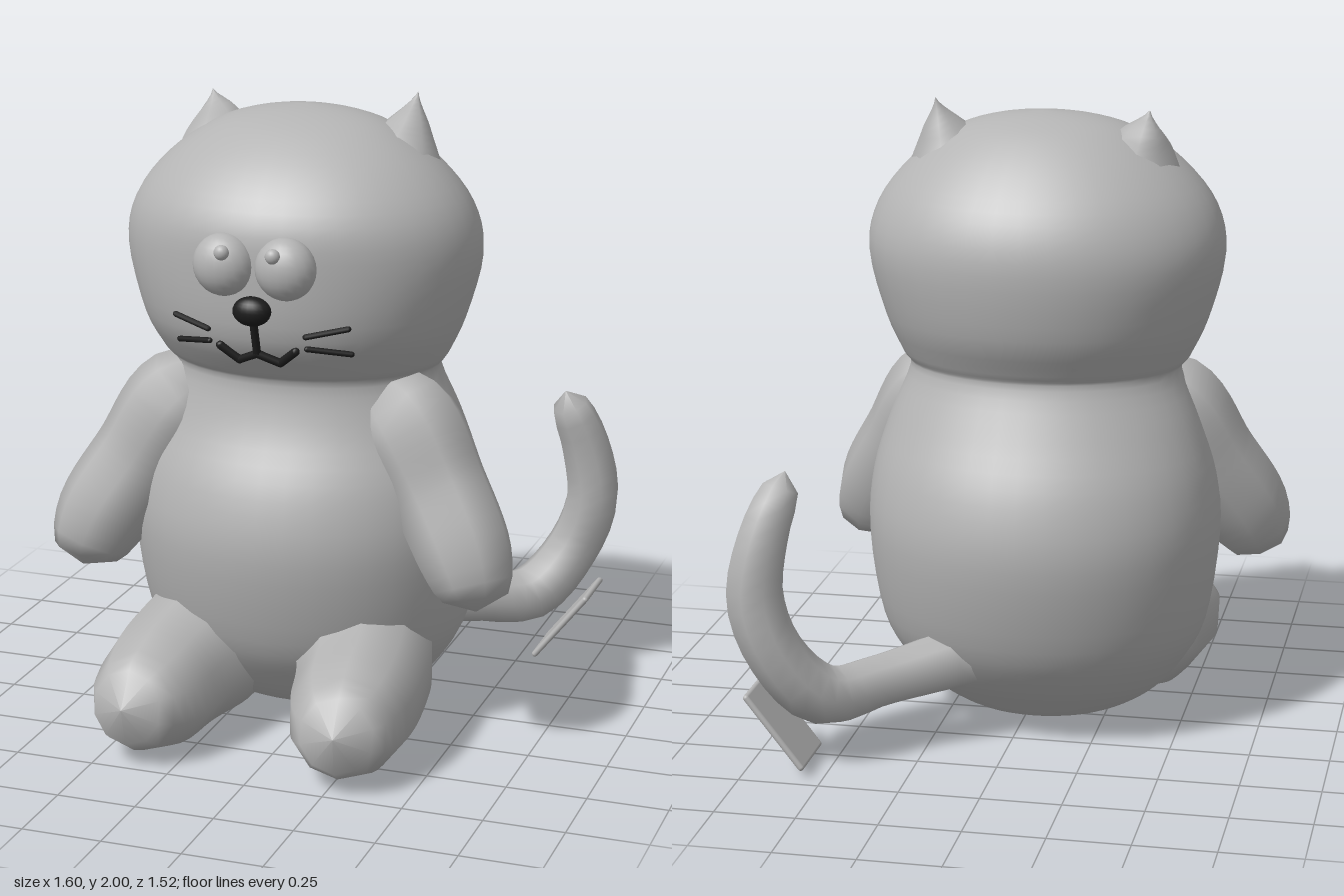
import * as THREE from 'three';
import { mergeVertices } from 'three/addons/utils/BufferGeometryUtils.js';
import { RoundedBoxGeometry } from 'three/addons/geometries/RoundedBoxGeometry.js';

const fur = new THREE.MeshStandardMaterial({ color: 0xb4b4b4 });
fur.name = 'grey fur';
const ink = new THREE.MeshStandardMaterial({ color: 0x1c1c1c });
ink.name = 'black features';

const V = (x, y, z) => new THREE.Vector3(x, y, z);

// Trunk sections: y, half width, centre z, half depth
const SECTIONS = [
  [0.03, 0, 0, 0], [0.045, 0.2, 0, 0.15], [0.1, 0.34, 0.02, 0.25], [0.2, 0.44, 0.02, 0.35],
  [0.35, 0.52, 0.02, 0.44], [0.62, 0.56, 0.02, 0.5], [0.82, 0.545, 0.02, 0.47], [1.0, 0.49, 0.02, 0.385],
  [1.15, 0.43, 0.035, 0.335], [1.2, 0.455, 0.045, 0.36], [1.32, 0.51, 0.055, 0.43], [1.52, 0.56, 0.05, 0.455],
  [1.67, 0.53, 0.06, 0.43], [1.8, 0.43, 0.06, 0.335], [1.9, 0.29, 0.05, 0.21], [1.945, 0.15, 0.04, 0.1],
  [1.96, 0, 0.03, 0],
];
const splines = [1, 2, 3].map(k => new THREE.SplineCurve(SECTIONS.map(s => new THREE.Vector2(s[0], s[k]))));
const ROWS = Array.from({ length: 65 }, (_, i) => {
  const p = splines.map(s => s.getPoint(i / 64));
  return { y: p[0].x, rx: Math.max(p[0].y, 0), zc: p[1].y, rz: Math.max(p[2].y, 0) };
});

// Front surface of the trunk, used to seat the face
function faceZ(x, y) {
  const j = ROWS.findIndex(r => r.y >= y), a = ROWS[j - 1], b = ROWS[j];
  const f = (y - a.y) / (b.y - a.y);
  const mix = k => THREE.MathUtils.lerp(a[k], b[k], f);
  return mix('zc') + mix('rz') * Math.sqrt(1 - (x / mix('rx')) ** 2);
}

function trunkGeometry() {
  const n = 40, pos = [], index = [];
  for (const r of ROWS) {
    for (let j = 0; j < n; j++) {
      const a = j / n * Math.PI * 2;
      pos.push(r.rx * Math.sin(a), r.y, r.zc + r.rz * Math.cos(a));
    }
  }
  for (let i = 0; i < ROWS.length - 1; i++) {
    for (let j = 0; j < n; j++) {
      const a = i * n + j, b = i * n + (j + 1) % n;
      index.push(a, b, b + n, a, b + n, a + n);
    }
  }
  const g = new THREE.BufferGeometry();
  g.setAttribute('position', new THREE.Float32BufferAttribute(pos, 3));
  g.setIndex(index);
  const merged = mergeVertices(g, 1e-4);
  merged.computeVertexNormals();
  return merged;
}

// Tube of changing radius through [x, y, z, radius] points
function limbGeometry(points, sides = 10, steps = 20) {
  const curve = new THREE.CatmullRomCurve3(points.map(p => V(p[0], p[1], p[2])));
  const radii = new THREE.SplineCurve(points.map((p, i) => new THREE.Vector2(i, p[3])));
  const g = new THREE.TubeGeometry(curve, steps, 1, sides);
  const pos = g.attributes.position, v = V(0, 0, 0);
  for (let i = 0; i <= steps; i++) {
    const c = curve.getPointAt(i / steps);
    const r = Math.max(radii.getPoint(curve.getUtoTmapping(i / steps)).y, 0.0005);
    for (let j = 0; j <= sides; j++) {
      const k = i * (sides + 1) + j;
      v.fromBufferAttribute(pos, k).sub(c).multiplyScalar(r).add(c);
      pos.setXYZ(k, v.x, v.y, v.z);
    }
  }
  g.deleteAttribute('uv');
  g.deleteAttribute('normal');
  const merged = mergeVertices(g, 1e-4);
  merged.computeVertexNormals();
  return merged;
}

export function createModel() {
  const model = new THREE.Group();
  model.name = 'sittingCat';
  const cat = new THREE.Group();
  cat.name = 'cat';
  cat.position.x = -0.05;
  model.add(cat);

  const add = (name, geometry, material, parent = cat) => {
    const m = new THREE.Mesh(geometry, material);
    m.name = name;
    parent.add(m);
    return m;
  };
  const ball = (name, material, c, r) => {
    const m = add(name, new THREE.SphereGeometry(1, 20, 14), material);
    m.position.set(...c);
    m.scale.set(...r);
  };
  // Thin stroke drawn on the face through [x, y] points
  const stroke = (name, pts, r) => {
    for (let i = 1; i < pts.length; i++) {
      const [a, b] = [pts[i - 1], pts[i]].map(([x, y]) => V(x, y, faceZ(x, y) + 0.012));
      const m = add(name, new THREE.CapsuleGeometry(r, a.distanceTo(b), 3, 8), ink);
      m.position.copy(a).lerp(b, 0.5);
      m.quaternion.setFromUnitVectors(V(0, 1, 0), b.sub(a).normalize());
    }
  };

  add('headAndBody', trunkGeometry(), fur);

  for (const s of [1, -1]) {
    const side = s > 0 ? 'left' : 'right';
    const limb = (part, pts, sides) =>
      add(side + part, limbGeometry(pts.map(([x, ...rest]) => [x * s, ...rest]), sides), fur);

    limb('Arm', [[0.22, 1.14, 0.13, 0.06], [0.36, 1.03, 0.17, 0.165], [0.49, 0.83, 0.22, 0.16],
      [0.6, 0.65, 0.29, 0.15], [0.645, 0.53, 0.325, 0.105], [0.65, 0.49, 0.335, 0]], 8);
    limb('Leg', [[0.18, 0.26, -0.05, 0.14], [0.25, 0.25, 0.2, 0.22], [0.305, 0.215, 0.42, 0.205],
      [0.32, 0.19, 0.58, 0.185], [0.335, 0.19, 0.7, 0.14], [0.34, 0.2, 0.76, 0.075], [0.34, 0.2, 0.77, 0]], 10);
    limb('Ear', [[0.26, 1.66, 0.03, 0.18], [0.29, 1.8, 0.01, 0.145], [0.315, 1.91, -0.02, 0.065],
      [0.33, s > 0 ? 2.0 : 1.975, s > 0 ? -0.05 : -0.02, 0]], 8);

    // Eyes with small raised pupils
    ball(side + 'Eye', fur, [s * 0.098, 1.55, 0.495], [0.094, 0.095, 0.075]);
    ball(side + 'Pupil', fur, [s * 0.08, 1.6, 0.558], [0.023, 0.023, 0.02]);

    // Whiskers and half of the mouth
    stroke(side + 'Whisker', [[s * 0.155, 1.345], [s * 0.275, 1.37]], 0.009);
    stroke(side + 'Whisker', [[s * 0.155, 1.305], [s * 0.275, 1.285]], 0.009);
    stroke(side + 'Mouth', [[0, 1.28], [s * 0.065, 1.25], [s * 0.12, 1.295]], 0.013);
  }
  ball('nose', ink, [0, 1.42, 0.52], [0.06, 0.045, 0.04]);
  stroke('mouthLine', [[0, 1.39], [0, 1.28]], 0.013);

  // Tail, sweeping out behind and curling up
  add('tail', limbGeometry([[0.15, 0.28, -0.27, 0.1], [0.38, 0.24, -0.44, 0.085], [0.53, 0.23, -0.57, 0.095],
    [0.65, 0.38, -0.65, 0.09], [0.71, 0.56, -0.66, 0.09], [0.685, 0.75, -0.64, 0.08],
    [0.64, 0.89, -0.6, 0.06], [0.63, 0.94, -0.58, 0]], 8, 24), fur, model);

  // Small tilted tag beside the tail
  const tag = add('tag', new RoundedBoxGeometry(0.29, 0.02, 0.22, 3, 0.01), fur, model);
  tag.position.set(0.65, 0.145, -0.6);
  tag.rotation.z = Math.atan2(0.23, 0.18);

  return model;
}
